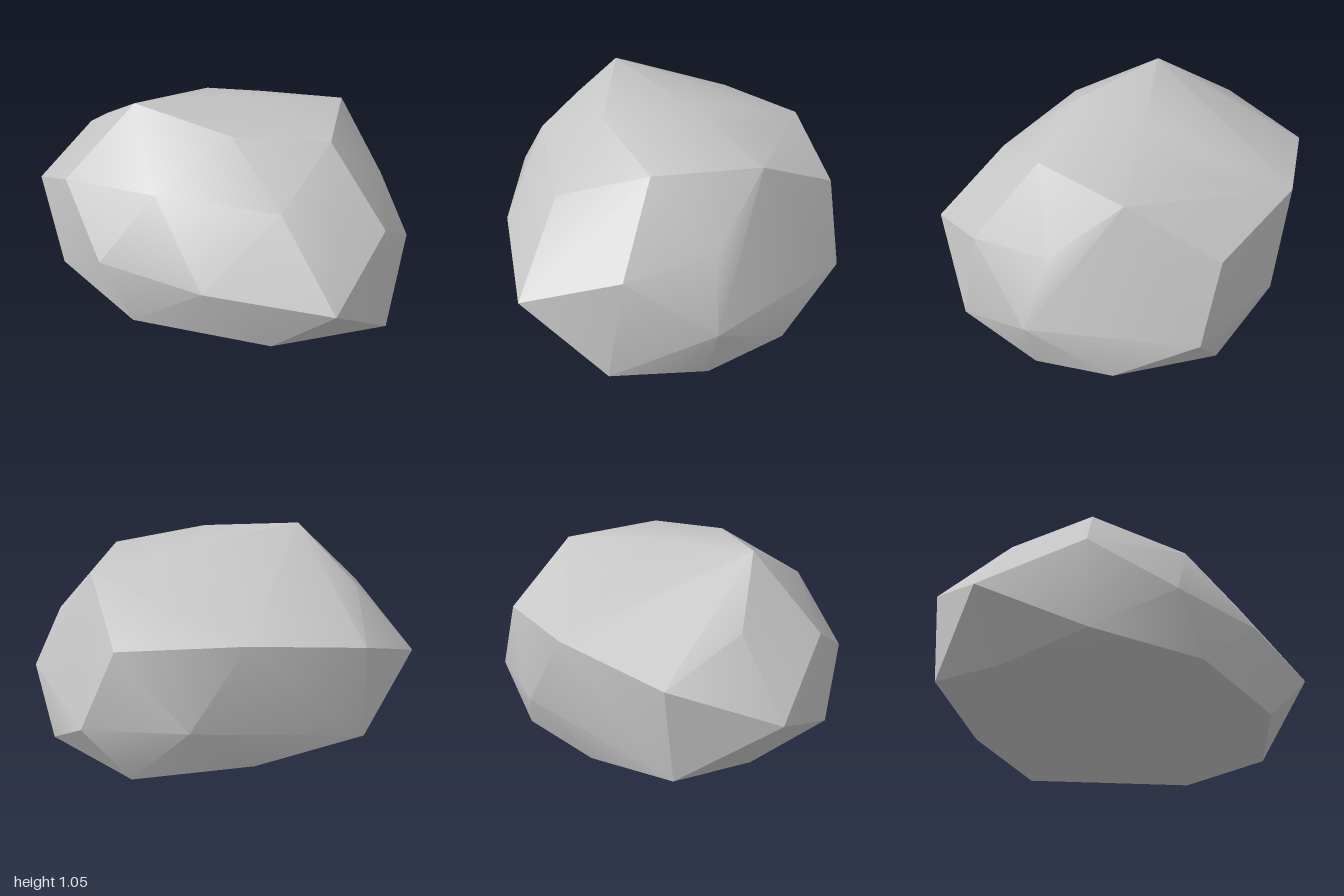
import * as THREE from 'three';
import { ConvexGeometry } from 'three/addons/geometries/ConvexGeometry.js';
import { toCreasedNormals } from 'three/addons/utils/BufferGeometryUtils.js';

// Corner rings of the boulder, from the ground to the crown
const base = [
  [0.92, 0.06, 0.45], [0.92, 0, -0.03], [0.81, 0.055, -0.43], [0.355, 0, -0.73],
  [-0.23, 0.06, -0.65], [-0.75, 0.165, -0.48], [-0.77, 0.145, -0.065], [-0.745, 0.225, 0.4],
  [-0.3, 0.155, 0.73], [0.38, 0.1, 0.75],
];
const waist = [
  [0.68, 0.37, 0.83], [1, 0.29, -0.05], [0.58, 0.275, -0.775], [0.06, 0.31, -0.84],
  [-1, 0.455, -0.05], [-0.46, 0.455, 0.7], [0.06, 0.425, 0.835],
];
const shoulder = [
  [0.875, 0.565, 0.365], [0.835, 0.635, -0.08], [0.41, 0.67, -0.765], [-0.2, 0.725, -0.775],
  [-0.74, 0.64, -0.52], [-0.7, 0.805, -0.085], [-0.71, 0.7, 0.365], [-0.2, 0.795, 0.605],
  [0.39, 0.75, 0.6],
];
const crown = [
  [-0.39, 1.055, 0.18], [0.12, 0.99, 0.33], [0.58, 0.925, 0.18], [0.6, 0.918, -0.35],
  [0.115, 1.01, -0.1], [0.16, 0.872, -0.465],
];

export function createModel() {
  const stone = new THREE.MeshStandardMaterial({ color: 0xc6c6c6 });
  stone.name = 'stone grey';

  // Chipped convex stone: gentle bends are smooth, steep ones stay sharp
  const corners = [...base, ...waist, ...shoulder, ...crown].map((p) => new THREE.Vector3(...p));
  const boulder = new THREE.Mesh(toCreasedNormals(new ConvexGeometry(corners), Math.PI / 6), stone);
  boulder.name = 'boulder';

  const group = new THREE.Group();
  group.name = 'rock';
  group.add(boulder);
  return group;
}
